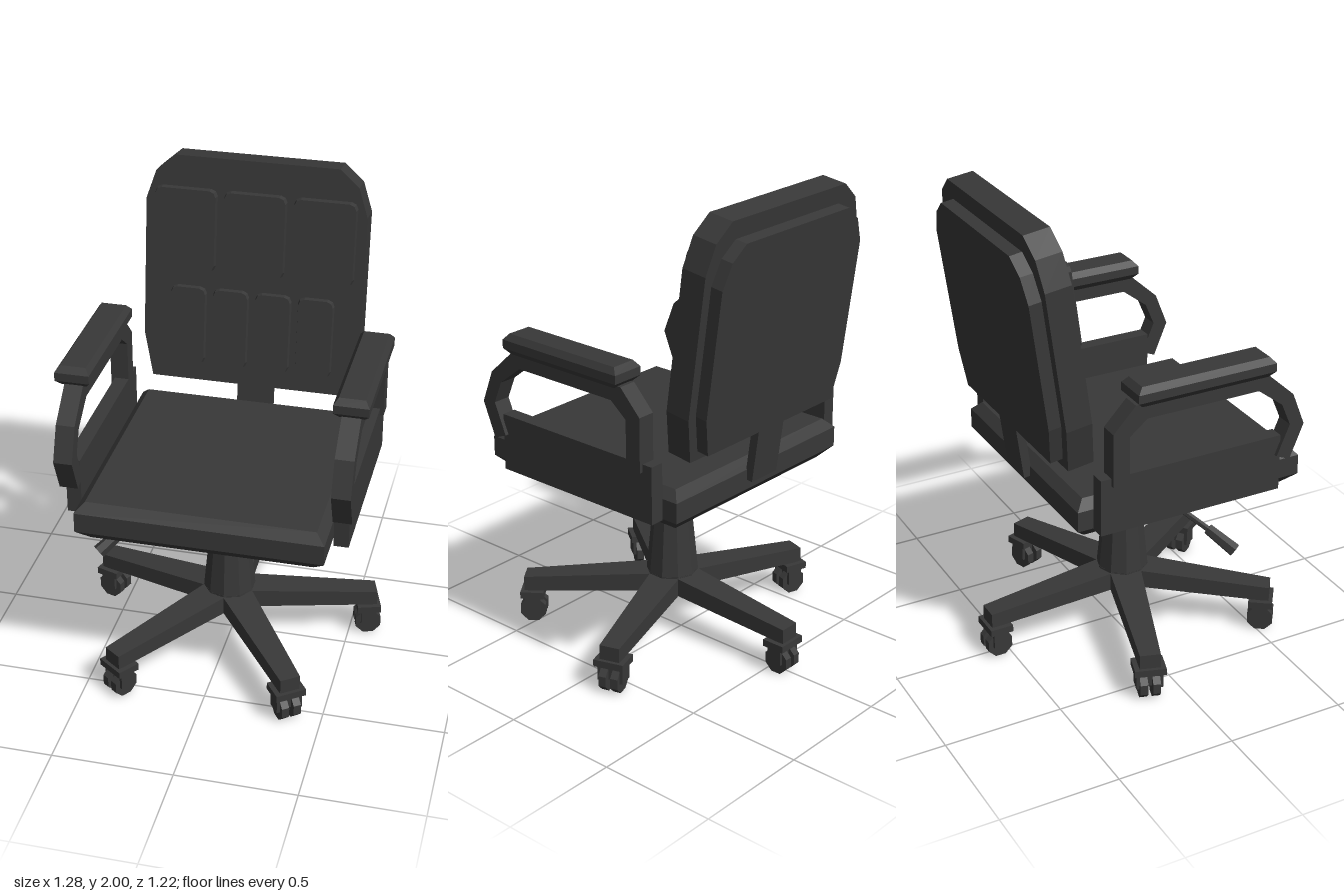
import * as THREE from 'three';

const charcoal = new THREE.MeshStandardMaterial({ color: 0x383838 });
charcoal.name = 'charcoal';
charcoal.flatShading = true;

function add(parent, name, geometry, x = 0, y = 0, z = 0) {
  const mesh = new THREE.Mesh(geometry, charcoal);
  mesh.name = name;
  mesh.position.set(x, y, z);
  parent.add(mesh);
  return mesh;
}

const box = (w, h, d) => new THREE.BoxGeometry(w, h, d);

// Rectangular cross-sections stacked upwards; each layer is [halfX, halfZ, y]
function stackedBox(layers) {
  const n = layers.length - 1;
  const geo = new THREE.BoxGeometry(2, 1, 2, 1, n, 1);
  const p = geo.attributes.position;
  for (let i = 0; i < p.count; i++) {
    const [hx, hz, y] = layers[Math.round((p.getY(i) + 0.5) * n)];
    p.setXYZ(i, p.getX(i) * hx, y, p.getZ(i) * hz);
  }
  geo.computeVertexNormals();
  return geo;
}

// Flat plate from an outline, running from z0 to z1
function plate(points, z0, z1) {
  const shape = new THREE.Shape(points.map(([x, y]) => new THREE.Vector2(x, y)));
  const geo = new THREE.ExtrudeGeometry(shape, { depth: z1 - z0, bevelEnabled: false });
  return geo.translate(0, 0, z0);
}

// Mirrors a right-hand outline (bottom to top) into a closed one
const mirrored = (half) => [...half, ...half.map(([x, y]) => [-x, y]).reverse()];

// Cushion with cut corners and a slightly smaller front face
function cushion(w, h, depth) {
  const c = 0.028, a = w / 2, b = h / 2;
  const outline = mirrored([[a - c, -b], [a - c * 0.3, -b + c * 0.3], [a, -b + c],
    [a, b - c], [a - c * 0.3, b - c * 0.3], [a - c, b]]);
  const geo = plate(outline, -0.01, depth);
  const p = geo.attributes.position;
  for (let i = 0; i < p.count; i++) {
    if (p.getZ(i) > 0) p.setXY(i, p.getX(i) * (1 - 0.012 / w), p.getY(i) * (1 - 0.012 / h));
  }
  geo.computeVertexNormals();
  return geo;
}

function rod(parent, name, from, to, r0, r1, sides) {
  const a = new THREE.Vector3(...from), b = new THREE.Vector3(...to);
  const dir = b.clone().sub(a);
  const mesh = add(parent, name, new THREE.CylinderGeometry(r1, r0, dir.length(), sides));
  mesh.position.copy(a).add(b).multiplyScalar(0.5);
  mesh.quaternion.setFromUnitVectors(new THREE.Vector3(0, 1, 0), dir.normalize());
}

function createBackrest() {
  const back = new THREE.Group();
  back.name = 'backrest';
  back.position.set(0, 1.043, -0.302);
  back.rotation.x = -0.135;
  add(back, 'backPanel', plate(mirrored([[0.42, 0], [0.46, 0.19], [0.46, 0.775],
    [0.42, 0.895], [0.34, 0.965]]), -0.11, 0));
  add(back, 'backShell', plate(mirrored([[0.385, 0.04], [0.42, 0.2], [0.42, 0.73],
    [0.38, 0.83], [0.31, 0.89]]), -0.163, -0.109));
  add(back, 'backSupport', box(0.155, 0.3, 0.036), 0, -0.035, -0.1445);
  // Three upper and four lower cushions
  for (const x of [-0.29, 0, 0.29]) add(back, 'upperCushion', cushion(0.265, 0.355, 0.025), x, 0.66, 0);
  for (const x of [-0.27, -0.09, 0.09, 0.27]) add(back, 'lowerCushion', cushion(0.157, 0.345, 0.02), x, 0.245, 0);
  return back;
}

function createArmrest(side) {
  const arm = new THREE.Group();
  arm.name = side > 0 ? 'leftArmrest' : 'rightArmrest';
  add(arm, 'sidePanel', box(0.06, 0.24, 0.8), side * 0.541, 0.922, 0.05);
  // Bent frame drawn as (z, y), then turned so that it runs along z
  const frame = plate([[0.485, 0.935], [0.545, 1.08], [0.49, 1.22], [0.365, 1.335],
    [-0.21, 1.335], [-0.305, 1.235], [-0.305, 1.01], [-0.235, 1.01], [-0.235, 1.21],
    [-0.16, 1.27], [0.33, 1.27], [0.44, 1.185], [0.48, 1.09], [0.425, 0.96]], -0.038, 0.038);
  frame.rotateY(-Math.PI / 2);
  add(arm, 'armFrame', frame, side * 0.549, 0, 0);
  add(arm, 'armPad', stackedBox([[0.05, 0.275, 1.33], [0.07, 0.3, 1.355],
    [0.07, 0.3, 1.39], [0.052, 0.278, 1.415]]), side * 0.55, 0, 0.085);
  return arm;
}

// Tapered leg running along +z from the hub
function legGeometry() {
  const geo = box(2, 1, 1);
  const p = geo.attributes.position;
  for (let i = 0; i < p.count; i++) {
    const outer = p.getZ(i) > 0, top = p.getY(i) > 0;
    p.setXYZ(i, p.getX(i) * (outer ? 0.043 : 0.07),
      outer ? (top ? 0.21 : 0.145) : (top ? 0.272 : 0.19), outer ? 0.635 : 0);
  }
  geo.computeVertexNormals();
  return geo;
}

function createBase() {
  const base = new THREE.Group();
  base.name = 'base';
  base.position.z = 0.05;
  add(base, 'hub', new THREE.CylinderGeometry(0.11, 0.09, 0.09, 10), 0, 0.225, 0);
  add(base, 'columnSleeve', new THREE.CylinderGeometry(0.085, 0.11, 0.26, 10), 0, 0.395, 0);
  add(base, 'column', new THREE.CylinderGeometry(0.058, 0.068, 0.2, 10), 0, 0.61, 0);
  const wheel = new THREE.CylinderGeometry(0.058, 0.058, 0.032, 8);
  wheel.rotateY(Math.PI / 8).rotateZ(Math.PI / 2);
  for (let i = 0; i < 5; i++) {
    const leg = new THREE.Group();
    leg.name = 'legWithCaster';
    leg.rotation.y = Math.PI + i * Math.PI * 2 / 5;
    add(leg, 'leg', legGeometry());
    add(leg, 'casterCap', box(0.13, 0.03, 0.1), 0, 0.132, 0.6);
    add(leg, 'casterCore', box(0.02, 0.07, 0.05), 0, 0.09, 0.6);
    for (const s of [-1, 1]) {
      add(leg, 'casterWheel', wheel, s * 0.026, 0.055, 0.6);
      add(leg, 'casterFork', box(0.014, 0.075, 0.065), s * 0.049, 0.086, 0.6);
    }
    base.add(leg);
  }
  return base;
}

export function createModel() {
  const chair = new THREE.Group();
  chair.name = 'officeChair';

  // Seat cushion and the pan beneath it
  add(chair, 'seat', stackedBox([[0.45, 0.45, 0.75], [0.5, 0.5, 0.8],
    [0.5, 0.5, 0.885], [0.463, 0.463, 0.923]]), 0, 0, 0.088);
  add(chair, 'seatPan', stackedBox([[0.24, 0.21, 0.685], [0.305, 0.262, 0.755]]), 0, 0, 0.05);

  // Height lever under the right side
  rod(chair, 'lever', [-0.22, 0.735, 0.06], [-0.42, 0.583, 0.235], 0.013, 0.013, 6);
  rod(chair, 'leverKnob', [-0.41, 0.592, 0.225], [-0.498, 0.515, 0.302], 0.024, 0.03, 6);

  chair.add(createBackrest(), createArmrest(1), createArmrest(-1), createBase());
  return chair;
}
